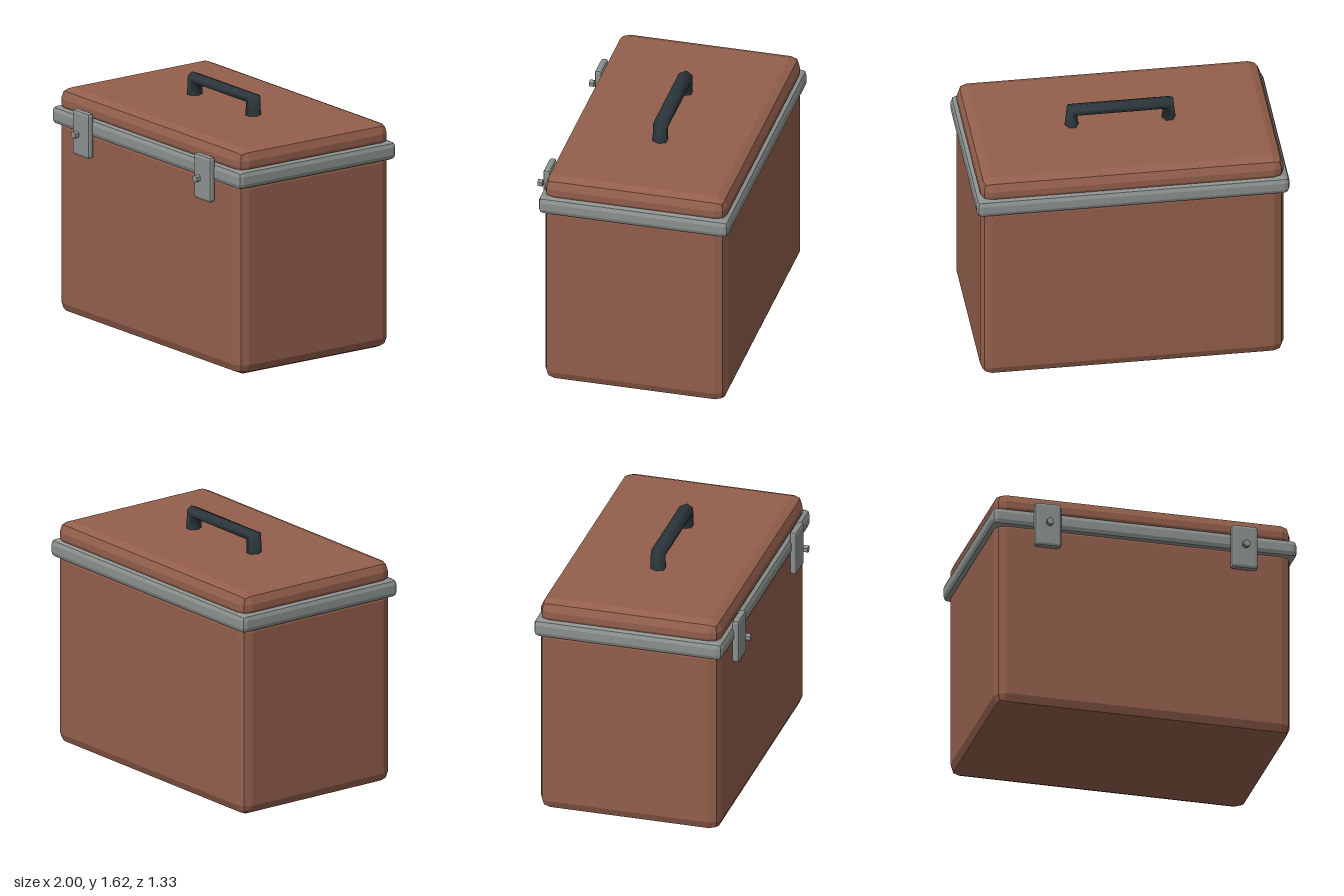
import * as THREE from 'three';
import { RoundedBoxGeometry } from 'three/addons/geometries/RoundedBoxGeometry.js';

const material = (name, color) => {
  const m = new THREE.MeshStandardMaterial({ color });
  m.name = name;
  return m;
};

// Box with two-facet bevels, given by its lower and upper corners
function bevelBox(min, max, radius) {
  const size = max.map((v, i) => v - min[i]);
  const geo = new RoundedBoxGeometry(...size, 1, radius);
  geo.computeVertexNormals(); // separate triangles, so this gives flat facets
  geo.translate(...max.map((v, i) => (v + min[i]) / 2));
  return geo;
}

// Six-sided grip swept through sections given by an outer and an inner point
function gripGeometry(z) {
  const half = [
    { out: [0.355, 1.47], inn: [0.264, 1.47] },
    { out: [0.34, 1.622], inn: [0.275, 1.553] },
  ];
  const flip = (s) => ({ out: [-s.out[0], s.out[1]], inn: [-s.inn[0], s.inn[1]] });
  const sections = [flip(half[0]), flip(half[1]), half[1], half[0]];
  const positions = [];
  const index = [];
  sections.forEach(({ out, inn }, s) => {
    for (let k = 0; k < 6; k++) {
      const a = (k / 6) * Math.PI * 2;
      const t = (1 - Math.cos(a)) / 2;
      positions.push(
        out[0] + (inn[0] - out[0]) * t,
        out[1] + (inn[1] - out[1]) * t,
        z + 0.051 * Math.sin(a)
      );
      if (s === sections.length - 1) continue;
      const i = s * 6 + k;
      const j = s * 6 + ((k + 1) % 6);
      index.push(i, j, i + 6, j, j + 6, i + 6);
    }
  });
  const geo = new THREE.BufferGeometry();
  geo.setAttribute('position', new THREE.Float32BufferAttribute(positions, 3));
  geo.setIndex(index);
  geo.computeVertexNormals();
  return geo;
}

export function createModel() {
  const brown = material('brown shell', 0x935f4c);
  const grey = material('grey metal', 0x8b918e);
  const dark = material('dark grip', 0x2c363c);
  dark.side = THREE.DoubleSide;

  const model = new THREE.Group();
  model.name = 'chest';
  const add = (name, geo, mat) => {
    const mesh = new THREE.Mesh(geo, mat);
    mesh.name = name;
    model.add(mesh);
    return mesh;
  };

  // Shell: body, lid and the rim that covers the seam
  add('body', bevelBox([-0.97, 0, -0.64], [0.97, 1.295, 0.553], 0.07), brown);
  add('lid', bevelBox([-0.97, 1.3, -0.64], [0.97, 1.48, 0.553], 0.07), brown);
  add('rim', bevelBox([-1, 1.235, -0.666], [1, 1.355, 0.58], 0.035), grey);

  // Carrying handle
  add('handle', gripGeometry(-0.043), dark);

  // Latches, each with a six-sided stud standing in front
  for (const [side, x] of [['left', 0.643], ['right', -0.643]]) {
    add(side + 'Latch', bevelBox([x - 0.088, 1.1, 0.566], [x + 0.088, 1.4, 0.616], 0.02), grey);
    const stud = new THREE.CylinderGeometry(0.025, 0.025, 0.03, 6).toNonIndexed();
    stud.computeVertexNormals();
    stud.rotateX(Math.PI / 2);
    stud.translate(x, 1.253, 0.653);
    add(side + 'Stud', stud, grey);
  }
  return model;
}
